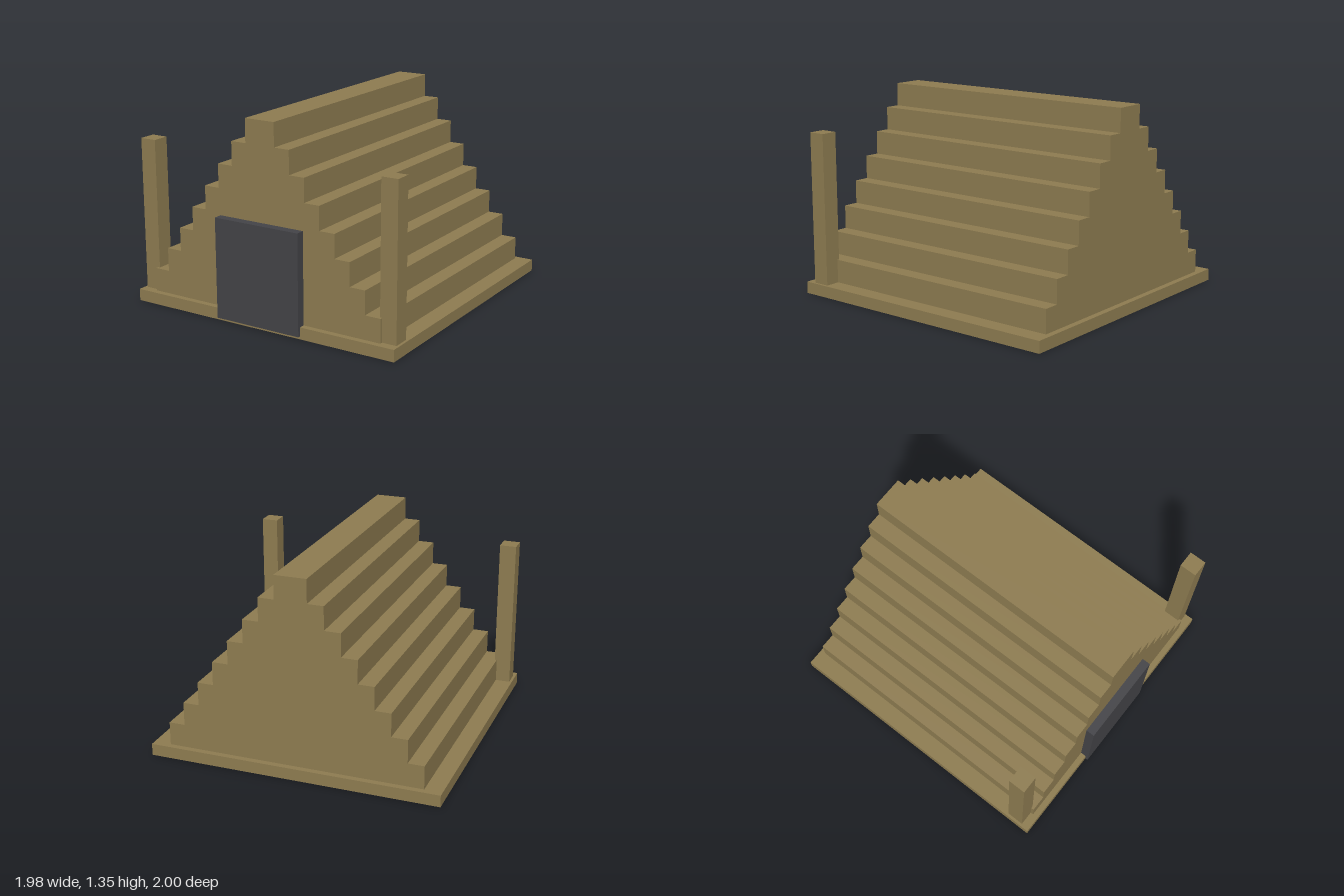
import * as THREE from 'three';

export function createModel() {
  const model = new THREE.Group();
  const wood = new THREE.MeshStandardMaterial({ color: 0x8d7b50 });
  wood.name = 'tan wood';
  const dark = new THREE.MeshStandardMaterial({ color: 0x434347 });
  dark.name = 'dark grey';

  // Box given by its lower and upper corners
  function box(name, material, [x0, y0, z0], [x1, y1, z1]) {
    const mesh = new THREE.Mesh(new THREE.BoxGeometry(x1 - x0, y1 - y0, z1 - z0), material);
    mesh.position.set((x0 + x1) / 2, (y0 + y1) / 2, (z0 + z1) / 2);
    mesh.name = name;
    model.add(mesh);
  }

  // Floor slab
  box('floorSlab', wood, [-0.988, 0, -1], [0.988, 0.08, 0.98]);

  // Stepped gable outline, extruded from back to front
  const steps = 8, baseY = 0.08, rise = 0.1588, bottomHalf = 0.87, topHalf = 0.108;
  const right = [];
  for (let i = 0; i < steps; i++) {
    const half = THREE.MathUtils.lerp(bottomHalf, topHalf, i / (steps - 1));
    right.push([half, baseY + i * rise], [half, baseY + (i + 1) * rise]);
  }
  const left = right.map(([x, y]) => [-x, y]).reverse();
  const outline = new THREE.Shape([...right, ...left].map(([x, y]) => new THREE.Vector2(x, y)));
  const geometry = new THREE.ExtrudeGeometry(outline, { depth: 1.9, bevelEnabled: false });
  const house = new THREE.Mesh(geometry, wood);
  house.name = 'steppedHouse';
  house.position.z = -0.96;
  model.add(house);

  // Corner posts at the front
  box('leftPost', wood, [0.855, 0.08, 0.803], [0.97, 1.113, 0.92]);
  box('rightPost', wood, [-0.97, 0.08, 0.803], [-0.855, 1.113, 0.92]);

  // Door slab, proud of the gable
  box('door', dark, [-0.315, 0.02, 0.93], [0.315, 0.695, 1]);

  return model;
}
